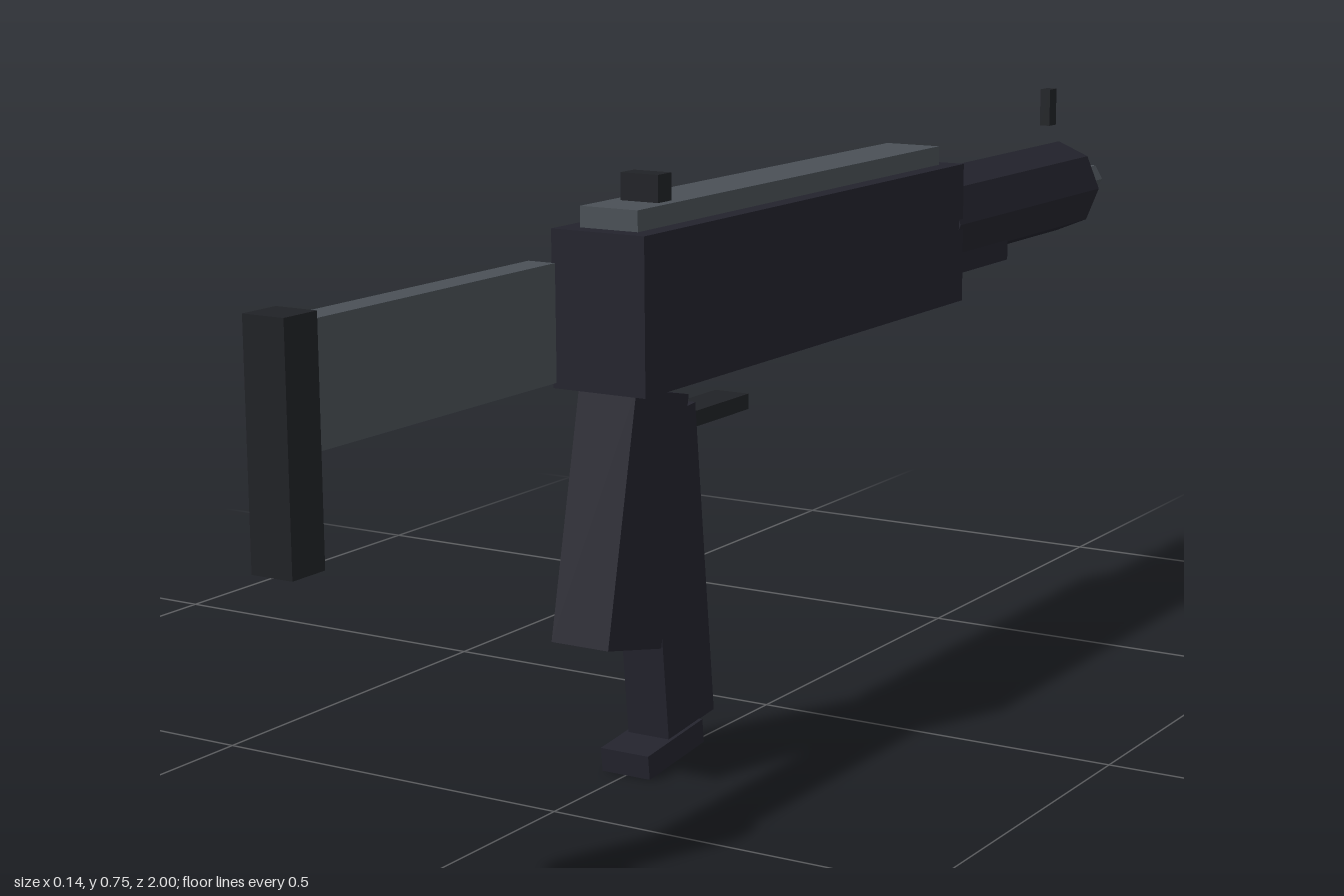
import * as THREE from 'three';

const material = (name, color) => {
  const m = new THREE.MeshStandardMaterial({ color, flatShading: true });
  m.name = name;
  return m;
};

export function createModel() {
  const group = new THREE.Group();
  const dark = material('dark blue-black', 0x23232d);
  const black = material('charcoal', 0x202226);
  const grey = material('steel grey', 0x4a5056);

  // Box centred on x = 0, tilted about the x axis
  const box = (name, mat, [w, h, d], y, z, tilt = 0) => {
    const mesh = new THREE.Mesh(new THREE.BoxGeometry(w, h, d), mat);
    mesh.name = name;
    mesh.position.set(0, y, z);
    mesh.rotation.x = tilt;
    group.add(mesh);
  };

  // Prism along z with corners on the x axis
  const prism = (name, mat, radius, sides, z0, z1) => {
    const geo = new THREE.CylinderGeometry(radius, radius, z1 - z0, sides);
    geo.rotateY(Math.PI / 2).rotateX(Math.PI / 2);
    const mesh = new THREE.Mesh(geo, mat);
    mesh.name = name;
    mesh.position.set(0, 0.602, (z0 + z1) / 2);
    group.add(mesh);
  };

  // Main body
  box('receiver', dark, [0.132, 0.194, 0.826], 0.59, -0.02);
  box('topCover', grey, [0.082, 0.04, 0.773], 0.693, -0.0185);

  // Barrel end
  prism('handguard', dark, 0.069, 8, -0.888, -0.42);
  prism('barrel', grey, 0.024, 6, -1, -0.87);
  box('handguardBlock', dark, [0.1, 0.05, 0.19], 0.552, -0.515);

  // Sights
  box('rearSight', black, [0.054, 0.036, 0.03], 0.729, 0.286);
  box('frontSight', black, [0.016, 0.055, 0.023], 0.7275, -0.847);

  // Stock
  box('stockStrut', grey, [0.037, 0.14, 0.445], 0.597, 0.7305);
  box('buttPlate', black, [0.054, 0.274, 0.053], 0.54, 0.9735);

  // Grip, magazine and trigger bar
  box('grip', dark, [0.082, 0.315, 0.12], 0.332, 0.349, -0.215);
  box('magazine', dark, [0.06, 0.41, 0.108], 0.247, 0.2575, 0.1);
  box('magazineFoot', dark, [0.07, 0.031, 0.128], 0.023, 0.281, 0.11);
  box('triggerBar', black, [0.05, 0.02, 0.2], 0.433, 0.187);

  return group;
}
